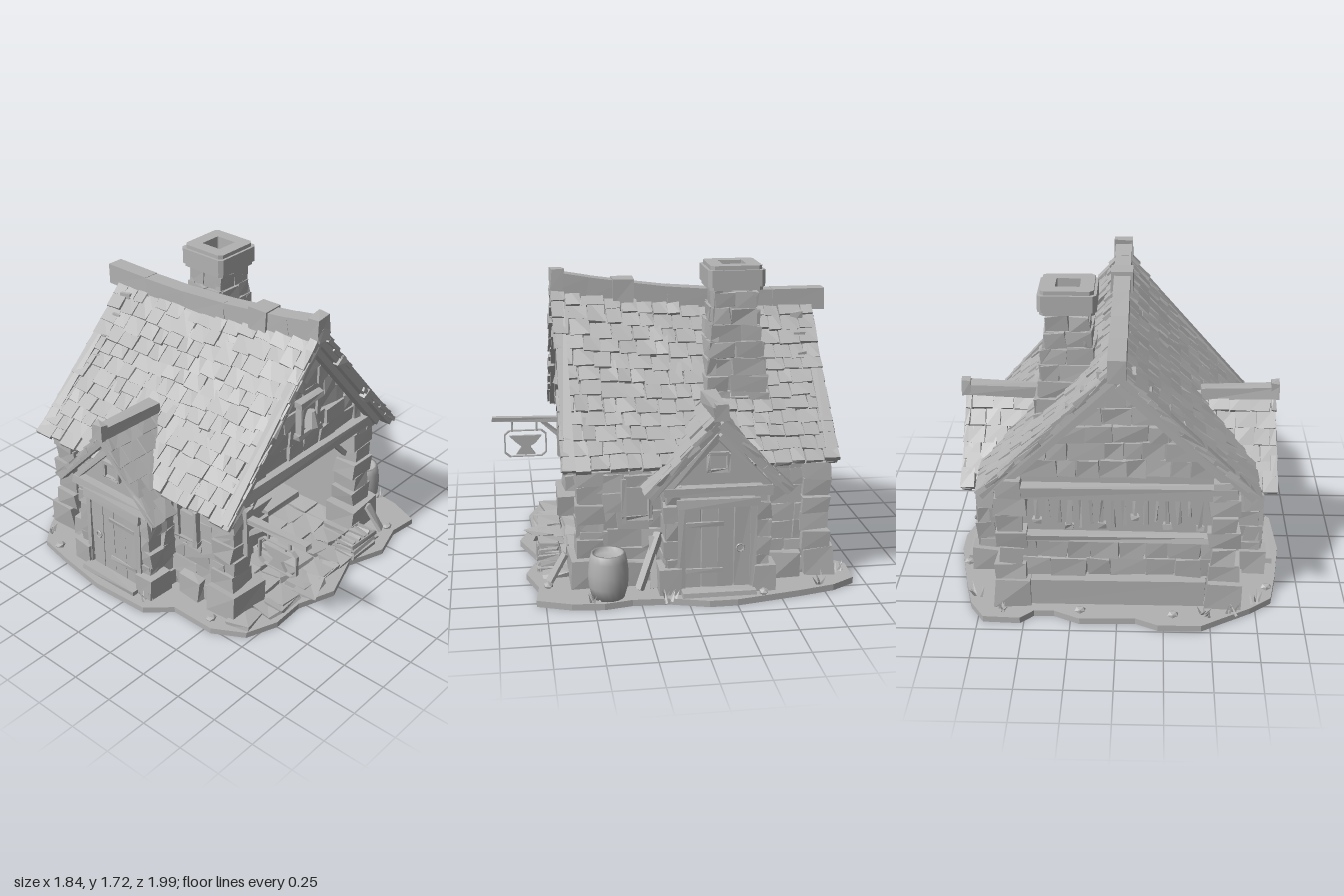
import * as THREE from 'three';
import { mergeGeometries } from 'three/addons/utils/BufferGeometryUtils.js';

export function createModel() {
  const group = new THREE.Group();
  const grey = new THREE.MeshStandardMaterial({ color: 0xb2b2b2, side: THREE.DoubleSide });
  grey.name = 'plain grey';
  const parts = {};
  let seed = 7;
  const rnd = (a = 0, b = 1) => {
    seed = (seed * 16807) % 2147483647;
    return a + (b - a) * (seed / 2147483647);
  };
  const lerp = THREE.MathUtils.lerp;

  // Collects faceted (or smooth) geometry under a part name
  const add = (name, geo, smooth = false) => {
    const g = geo.index ? geo.toNonIndexed() : geo;
    g.deleteAttribute('uv');
    if (!smooth) g.computeVertexNormals();
    (parts[name] ??= []).push(g);
  };

  // Box whose eight corners are nudged, for rough stone and timber
  const rough = (sx, sy, sz, j) => {
    const g = new THREE.BoxGeometry(sx, sy, sz), p = g.attributes.position;
    const off = Array.from({ length: 8 }, () => [rnd(-j, j), rnd(-j, j), rnd(-j, j)]);
    for (let i = 0; i < p.count; i++) {
      const o = off[(p.getX(i) > 0) * 4 + (p.getY(i) > 0) * 2 + (p.getZ(i) > 0) * 1];
      p.setXYZ(i, p.getX(i) + o[0], p.getY(i) + o[1], p.getZ(i) + o[2]);
    }
    return g;
  };
  const block = (name, x, y, z, sx, sy, sz, j = 0.006, rx = 0, ry = 0, rz = 0) =>
    add(name, rough(sx, sy, sz, j).rotateX(rx).rotateY(ry).rotateZ(rz).translate(x, y, z));
  const beam = (name, a, b, w, h, j = 0.004) => {
    const o = new THREE.Object3D(), p = new THREE.Vector3(...a), q = new THREE.Vector3(...b);
    o.position.copy(p).lerp(q, 0.5);
    o.lookAt(q);
    o.updateMatrix();
    add(name, rough(w, h, p.distanceTo(q), j).applyMatrix4(o.matrix));
  };

  // Courses of stones on a wall plane; range(y) gives the ends of each course
  const masonry = (name, alongX, plane, range, y0, y1, rowH = 0.1) => {
    const n = Math.max(1, Math.round((y1 - y0) / rowH)), h = (y1 - y0) / n;
    for (let r = 0; r < n; r++) {
      const y = y0 + h * (r + 0.5), [a, b] = range(y);
      for (let u = a; u < b - 0.02;) {
        let w = Math.min(rnd(0.09, 0.2), b - u);
        if (b - u - w < 0.05) w = b - u;
        const c = u + w / 2, t = rnd(0.04, 0.075);
        if (alongX) block(name, c, y, plane, w - 0.005, h - 0.004, t, 0.008);
        else block(name, plane, y, c, t, h - 0.004, w - 0.005, 0.008);
        u += w;
      }
    }
  };
  const extrude = (pts, depth, holes = []) => {
    const v = a => a.map(([x, y]) => new THREE.Vector2(x, y));
    const s = new THREE.Shape(v(pts));
    holes.forEach(h => s.holes.push(new THREE.Path(v(h))));
    return new THREE.ExtrudeGeometry(s, { depth, bevelEnabled: false });
  };

  // Ground slab
  const outline = [[-.88, -.5], [-.84, -.72], [-.72, -.82], [-.56, -.92], [-.45, -.99], [-.22, -.99], [-.1, -.93],
    [.2, -.94], [.34, -.87], [.45, -.87], [.52, -.94], [.72, -.93], [.8, -.8], [.85, -.6], [.92, -.25], [.92, -.1],
    [.86, .1], [.85, .3], [.88, .45], [.86, .62], [.79, .8], [.62, .78], [.42, .84], [.2, .76], [-.08, .86],
    [-.3, .78], [-.5, .79], [-.68, .72], [-.78, .55], [-.78, .28], [-.9, .15], [-.92, -.2]];
  add('ground', extrude(outline, 0.035).rotateX(Math.PI / 2).translate(0, 0.035, 0));
  for (let x = -0.45; x < 0.5; x += 0.15)
    for (let z = -0.6; z < 0.75; z += 0.16)
      block('pavingStones', x + rnd(-.02, .02), 0.04, z, 0.14, 0.035, 0.145, 0.012);

  // Main walls, corner piers and plinths
  for (const s of [-1, 1]) {
    block('wallCore', s * 0.55, 0.39, -0.11, 0.08, 0.72, 1.28, 0);
    masonry('sideStones', false, s * 0.58, () => [-0.76, 0.56], 0.03, 0.75);
    for (let i = 0; i < 6; i++) {
      const y = 0.24 + i * 0.1, w = i % 2 ? 0.13 : 0.17;
      block('frontPier', s * 0.545, y, 0.5, w, 0.1, 0.15, 0.01);
      block('backPier', s * 0.57, y, -0.73, w, 0.1, 0.15, 0.01);
    }
    block('plinth', s * 0.54, 0.11, 0.52, 0.26, 0.16, 0.19, 0.012);
    block('plinth', s * 0.57, 0.11, -0.75, 0.19, 0.16, 0.17, 0.012);
    block('plinth', s * 0.62, 0.1, 0.28, 0.09, 0.14, 0.16, 0.012);
    block('plinth', s * 0.62, 0.1, -0.56, 0.1, 0.14, 0.17, 0.012);
    // Shuttered side window
    block('sideWindow', s * 0.62, 0.5, 0.25, 0.02, 0.16, 0.12, 0);
    for (const z of [0.18, 0.32]) block('sideWindow', s * 0.63, 0.51, z, 0.04, 0.24, 0.025);
    block('sideWindow', s * 0.63, 0.41, 0.25, 0.04, 0.025, 0.16);
    block('wallPlate', s * 0.6, 0.73, -0.1, 0.07, 0.06, 1.36);
    beam('frontBrace', [s * 0.46, 0.55, 0.5], [s * 0.3, 0.72, 0.5], 0.03, 0.03);
  }
  block('frontLintel', 0, 0.765, 0.55, 1.28, 0.075, 0.08);
  block('backLintel', 0, 0.72, -0.77, 1.26, 0.07, 0.07);

  // Back wall with a recessed tool rack
  block('backWallCore', 0, 0.39, -0.69, 1.08, 0.72, 0.05, 0);
  masonry('backStones', true, -0.74, () => [-0.55, 0.55], 0.2, 0.42, 0.11);
  block('backPlinth', 0, 0.11, -0.76, 0.95, 0.16, 0.1, 0.008);
  block('rackSill', 0, 0.44, -0.765, 1.0, 0.04, 0.06);
  for (let i = 0; i < 16; i++) {
    const h = rnd(0.12, 0.2), x = -0.44 + i * 0.058;
    block('rackTools', x, 0.68 - h / 2, -0.745, rnd(0.014, 0.026), h, 0.02, 0.004, 0, 0, rnd(-.08, .08));
    if (i % 3 === 0) block('rackTools', x, 0.68 - h, -0.745, 0.045, 0.03, 0.03);
  }

  // Gables
  const half = y => 0.64 * (1.5 - y) / 0.76;
  for (const [z, out] of [[0.49, 0.54], [-0.72, -0.75]]) {
    add('gableCore', extrude([[-0.62, 0.74], [0.62, 0.74], [0, 1.48]], 0.03).translate(0, 0, z - 0.015));
    masonry('gableStones', true, out - Math.sign(out) * 0.02, y => [-half(y + .03), half(y + .03)], 0.8, 1.4, 0.1);
  }
  block('gableWindow', -0.015, 1.06, 0.57, 0.14, 0.18, 0.02, 0);
  for (const x of [-0.09, 0.06]) block('gableWindowFrame', x, 1.06, 0.58, 0.025, 0.2, 0.035);
  for (const y of [0.96, 1.16]) block('gableWindowFrame', -0.015, y, 0.585, 0.2, 0.035, 0.045);
  add('gableBell', new THREE.CylinderGeometry(0.022, 0.05, 0.09, 8).translate(-0.015, 1.05, 0.6));

  // Main roof: sagging ridge, straight slopes
  const ridge = z => 1.45 + 0.13 * Math.pow(Math.max(0, (z + 0.55) / 1.2), 1.8);
  const roofY = (t, z) => lerp(ridge(z), 0.73, t) - 0.025 * Math.sin(Math.PI * t);
  for (const s of [-1, 1]) {
    const deck = new THREE.PlaneGeometry(1, 1, 8, 10), p = deck.attributes.position;
    for (let i = 0; i < p.count; i++) {
      const t = p.getX(i) + 0.5, z = lerp(-0.8, 0.62, p.getY(i) + 0.5);
      p.setXYZ(i, s * 0.71 * t, roofY(t, z) - 0.03, z);
    }
    add('roofDeck', deck);
    const rows = 12;
    for (let r = 0; r < rows; r++) {
      const t = (r + 0.5) / rows;
      for (let z = -0.83; z < 0.63;) {
        const w = Math.min(rnd(0.07, 0.13), 0.655 - z), zc = z + w / 2;
        const a = Math.atan2(roofY(t - .02, zc) - roofY(t + .02, zc), 0.0288);
        block('roofTiles', s * (0.71 * t + 0.008), roofY(t, zc) + rnd(-.004, .008), zc,
          0.13 + rnd(-.01, .025), 0.026, w - 0.006, 0.005, 0, 0, -s * (a - 0.1));
        z += w;
      }
    }
    // Bargeboards and inner rafters at both ends
    for (const [z, top] of [[0.61, 1.54], [-0.79, 1.41]]) {
      beam('bargeboards', [0, top, z], [s * 0.72, 0.715, z], 0.06, 0.055);
      beam('gableRafters', [0, top - 0.08, z * 0.96], [s * 0.63, 0.73, z * 0.96], 0.05, 0.04);
    }
    for (const t of [0.25, 0.62])
      block('rafterPegs', s * 0.71 * t, roofY(t, 0.62) - 0.02, 0.64, 0.06, 0.06, 0.04, 0.005, 0, 0, -s * 0.87);
  }
  const zs = [0.65, 0.45, 0.25, 0, -0.3, -0.6, -0.9];
  for (let i = 0; i < zs.length - 1; i++)
    beam('ridgeBeam', [0, ridge(zs[i]) + 0.01, zs[i]], [0, ridge(zs[i + 1]) + 0.01, zs[i + 1]], 0.095, 0.12, 0.002);
  block('ridgeBand', 0, ridge(0.25) + 0.015, 0.25, 0.125, 0.14, 0.12, 0.004);
  block('ridgeEnd', 0, 1.605, 0.615, 0.115, 0.115, 0.07, 0.008);

  // Chimney
  const cx = 0.27, cz = -0.32;
  for (let r = 0; r < 8; r++) {
    const y = 0.9 + r * 0.09, k = Math.min(1, Math.max(0, (y - 0.95) / 0.55)), hw = lerp(0.185, 0.115, k);
    block('chimneyCore', cx, y, cz, hw * 2 - 0.04, 0.09, hw * 2 - 0.04, 0);
    for (const s of [-1, 1]) {
      const d = rnd(-0.3, 0.3) * hw;
      for (const [a, b] of [[-hw, d], [d, hw]]) {
        block('chimneyStones', cx + (a + b) / 2, y, cz + s * (hw - .02), b - a - .004, 0.087, 0.05, 0.009);
        block('chimneyStones', cx + s * (hw - .02), y, cz + (a + b) / 2, 0.05, 0.087, b - a - .004, 0.009);
      }
    }
  }
  const sq = (h, c) => [[-h, -h + c], [-h + c, -h], [h - c, -h], [h, -h + c], [h, h - c], [h - c, h], [-h + c, h], [-h, h - c]];
  for (const [h, y, d] of [[0.145, 1.585, 0.02], [0.155, 1.605, 0.09], [0.14, 1.695, 0.022]])
    add('chimneyCap', extrude(sq(h, 0.02), d, [sq(0.065, 0.004).reverse()]).rotateX(-Math.PI / 2).translate(cx, y, cz));
  block('chimneyFlue', cx, 1.55, cz, 0.15, 0.08, 0.15, 0);

  // Side porches with doors
  const pz = -0.16;
  for (const s of [-1, 1]) {
    block('porchCore', s * 0.67, 0.33, pz, 0.2, 0.6, 0.5, 0);
    add('porchGable', extrude([[-0.29, 0.6], [0.29, 0.6], [0, 0.97]], 0.28).rotateY(Math.PI / 2)
      .translate(s > 0 ? 0.5 : -0.78, 0, pz));
    for (const k of [-1, 1]) {
      masonry('porchStones', true, pz + k * 0.25, () => (s > 0 ? [0.58, 0.79] : [-0.79, -0.58]), 0.03, 0.62);
      for (let i = 0; i < 6; i++)
        block('porchQuoins', s * 0.75, 0.08 + i * 0.1, pz + k * 0.235, 0.1, 0.098, i % 2 ? 0.07 : 0.1, 0.009);
      block('porchPlinth', s * 0.75, 0.1, pz + k * 0.25, 0.15, 0.15, 0.12, 0.01);
      block('doorFrame', s * 0.79, 0.29, pz + k * 0.195, 0.045, 0.5, 0.035);
      // Porch roof slope
      for (let r = 0; r < 6; r++) {
        const t = (r + 0.5) / 6, y = lerp(1.02, 0.61, t) - 0.02 * Math.sin(Math.PI * t);
        const x1 = 0.865, x0 = Math.max(0.4, (1.5 - y) / 0.77 * 0.71 - 0.1);
        for (let x = x0; x < x1 - 0.02;) {
          const w = Math.min(rnd(0.08, 0.12), x1 - x);
          block('porchTiles', s * (x + w / 2), y + rnd(0, .008), pz + k * (0.37 * t + 0.005),
            w - .005, 0.026, 0.12, 0.005, k * 0.76);
          x += w;
        }
      }
      beam('porchBargeboards', [s * 0.835, 0.98, pz], [s * 0.835, 0.59, pz + k * 0.37], 0.05, 0.045);
      beam('porchRafters', [s * 0.8, 0.9, pz], [s * 0.8, 0.6, pz + k * 0.29], 0.04, 0.035);
    }
    block('porchRidge', s * 0.66, 1.03, pz, 0.42, 0.06, 0.08, 0.006, 0, 0, s * 0.03);
    block('porchRidgeEnd', s * 0.86, 1.045, pz, 0.05, 0.09, 0.075, 0.005);
    block('porchLintel', s * 0.8, 0.605, pz, 0.06, 0.05, 0.58);
    block('doorFrame', s * 0.795, 0.535, pz, 0.05, 0.05, 0.44);
    for (let i = 0; i < 4; i++) block('doorPlanks', s * 0.785, 0.285, pz - 0.132 + i * 0.088, 0.03, 0.45, 0.084, 0.003);
    for (const y of [0.16, 0.42]) block('doorHinges', s * 0.803, y, pz + 0.07, 0.012, 0.025, 0.2, 0.003);
    add('doorHandle', new THREE.TorusGeometry(0.02, 0.005, 5, 10).rotateY(Math.PI / 2).translate(s * 0.808, 0.28, pz - 0.12));
    block('doorStep', s * 0.82, 0.045, pz, 0.1, 0.035, 0.4);
    block('porchWindow', s * 0.785, 0.755, pz, 0.01, 0.07, 0.08, 0);
    for (const k of [-1, 1]) {
      block('porchWindowFrame', s * 0.79, 0.755, pz + k * 0.05, 0.03, 0.1, 0.016);
      block('porchWindowFrame', s * 0.79, 0.755 + k * 0.045, pz, 0.03, 0.016, 0.11);
    }
  }

  // Hanging sign
  const sx = -0.52;
  beam('signArm', [sx, 0.645, 0.54], [sx, 0.66, 1.0], 0.045, 0.025);
  beam('signBrace', [sx, 0.53, 0.57], [sx, 0.64, 0.7], 0.025, 0.03);
  block('signPost', sx, 0.56, 0.59, 0.05, 0.3, 0.03);
  for (const z of [0.73, 0.88]) block('signChains', sx, 0.61, z, 0.012, 0.07, 0.012, 0.001);
  const frame = k => [[-.13, -.06], [-.1, -.085], [.1, -.085], [.13, -.06], [.13, .06], [.1, .085], [-.1, .085], [-.13, .06]]
    .map(([a, b]) => [a * k, b * k]);
  add('signFrame', extrude(frame(1), 0.02, [frame(0.93).reverse()]).rotateY(-Math.PI / 2).translate(sx + .01, 0.5, 0.8));
  const anvilPts = [[-.06, -.07], [.06, -.07], [.025, -.02], [.06, .01], [.1, .05], [-.1, .05], [-.06, .0], [-.025, -.02]];
  add('signAnvil', extrude(anvilPts, 0.02).rotateY(-Math.PI / 2).translate(sx + .01, 0.5, 0.8));

  // Workshop interior
  block('anvilStump', -0.03, 0.13, 0.2, 0.16, 0.17, 0.14, 0.01);
  add('anvil', extrude(anvilPts, 0.09).scale(1.4, 0.8, 1).translate(-0.03, 0.26, 0.155));
  block('forge', -0.3, 0.15, -0.45, 0.34, 0.22, 0.3, 0.012);
  for (let i = 0; i < 12; i++)
    block('forgeCoals', -0.3 + rnd(-.12, .12), 0.28, -0.45 + rnd(-.1, .1), 0.06, 0.05, 0.06, 0.012, 0, rnd(0, 3));
  block('workbench', 0.28, 0.22, -0.45, 0.36, 0.03, 0.26);
  for (const x of [0.13, 0.43]) block('workbench', x, 0.12, -0.45, 0.04, 0.18, 0.22);
  block('lowShelf', 0.3, 0.12, 0.1, 0.3, 0.04, 0.16);
  for (let i = 0; i < 5; i++)
    beam('leaningTools', [-0.38, 0.05, 0.35 - i * 0.12], [-0.49, rnd(0.35, 0.5), 0.33 - i * 0.12], 0.02, 0.025);

  // Barrel
  const prof = [[0, 0.03], [0.085, 0.03], [0.105, 0.1], [0.108, 0.17], [0.1, 0.24], [0.09, 0.28], [0.078, 0.28], [0.075, 0.25], [0, 0.25]];
  add('barrel', new THREE.LatheGeometry(prof.map(([r, y]) => new THREE.Vector2(r, y)), 18).translate(0.775, 0, 0.42), true);

  // Yard clutter: crate, leaning boards, slabs, rocks and grass
  for (let i = 0; i < 3; i++) {
    for (const z of [0.65, 0.77]) block('crate', 0.32, 0.055 + i * 0.035, z, 0.22, 0.026, 0.014);
    for (const x of [0.22, 0.42]) block('crate', x, 0.055 + i * 0.035, 0.71, 0.014, 0.026, 0.12);
  }
  for (let i = 0; i < 4; i++) block('crateBars', 0.25 + i * 0.045, 0.1, 0.71, 0.025, 0.08, 0.1, 0.008);
  beam('leaningBoards', [0.57, 0.04, 0.72], [0.54, 0.19, 0.63], 0.06, 0.02);
  beam('leaningBoards', [0.73, 0.04, 0.25], [0.63, 0.32, 0.13], 0.04, 0.03);
  beam('leaningBoards', [0.73, 0.04, 0.17], [0.63, 0.3, 0.17], 0.035, 0.025);
  for (const [x, z] of [[-.35, .7], [-.15, .74], [.02, .7], [-.6, .64]])
    block('stepSlabs', x, 0.04, z, 0.17, 0.03, 0.12, 0.015, 0, rnd(-.3, .3));
  for (const [x, z] of [[.1, .73], [-.82, -.62], [.62, .73], [.2, -.87], [-.3, -.9], [.86, -.4], [-.72, .5]])
    add('rocks', new THREE.IcosahedronGeometry(0.028, 0).scale(1.2, 0.7, 1).translate(x, 0.045, z));
  for (const [x, z] of [[-.75, -.78], [-.62, -.86], [.64, -.87], [.77, -.74], [.87, .1], [-.84, .12], [-.48, -.9], [.84, .5]])
    for (let i = 0; i < 6; i++)
      add('grass', new THREE.ConeGeometry(0.009, rnd(0.05, 0.09), 3).translate(0, 0.03, 0)
        .rotateZ(rnd(-.6, .6)).rotateX(rnd(-.6, .6)).translate(x + rnd(-.03, .03), 0.035, z + rnd(-.03, .03)));

  for (const [name, list] of Object.entries(parts)) {
    const mesh = new THREE.Mesh(mergeGeometries(list), grey);
    mesh.name = name;
    group.add(mesh);
  }
  return group;
}
